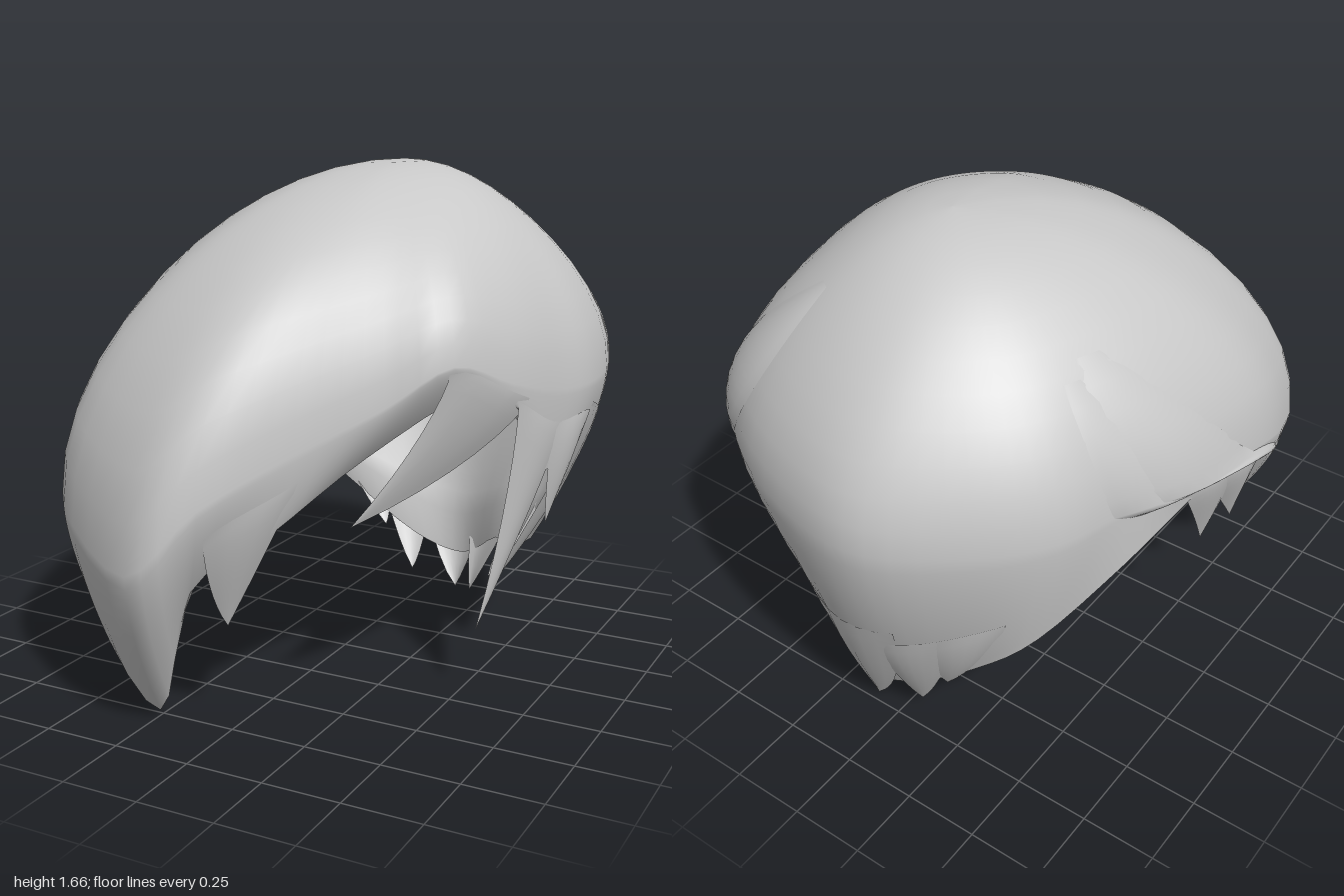
import * as THREE from 'three';

const hair = new THREE.MeshStandardMaterial({ color: 0xc8c8c8, side: THREE.DoubleSide });
hair.name = 'hair grey';

// Widest outline of the hair, from the front tip round by +x, the back and -x
const outline = [
  [-0.2, 0.54, 1], [0, 0.74, 0.92], [0.2, 0.88, 0.7], [0.4, 1, 0.54], [0.57, 1.12, 0.42],
  [0.67, 1.04, 0.2], [0.73, 0.98, -0.05], [0.77, 0.97, -0.3], [0.7, 0.98, -0.64], [0.45, 0.98, -0.87],
  [0.12, 0.97, -0.99], [-0.14, 0.97, -0.99], [-0.4, 0.97, -0.82], [-0.56, 0.97, -0.63], [-0.63, 0.96, -0.4],
  [-0.71, 0.92, -0.12], [-0.75, 0.85, 0.25], [-0.7, 0.74, 0.53], [-0.58, 0.64, 0.78],
];
// Lower edge, one point under each outline point
const hem = [
  [-0.24, 0.03, 0.78], [-0.08, 0.46, 0.84], [0.12, 0.63, 0.72], [0.33, 0.84, 0.5], [0.6, 1.03, 0.31],
  [0.69, 0.89, 0.08], [0.7, 0.72, -0.03], [0.71, 0.72, -0.26], [0.52, 0.35, -0.42], [0.33, 0.28, -0.57],
  [0.13, 0.14, -0.74], [-0.07, 0.19, -0.74], [-0.3, 0.36, -0.7], [-0.48, 0.53, -0.62], [-0.63, 0.74, -0.38],
  [-0.71, 0.86, -0.05], [-0.73, 0.77, 0.26], [-0.65, 0.57, 0.54], [-0.46, 0.32, 0.79],
];
const N = outline.length;
const loop = (pts) => new THREE.CatmullRomCurve3(pts.map((p) => new THREE.Vector3(...p)), true, 'catmullrom', 0.5);
const outlineCurve = loop(outline);
const hemCurve = loop(hem);
const crown = new THREE.Vector3(0.1, 1.67, -0.24);
const core = new THREE.Vector3(0, 0.8, 0);
const at = (curve, t) => curve.getPoint((((t / N) % 1) + 1) % 1);

// Point on the hair: t = place round the outline, v = 0 crown, 1 outline, 2 hem
function surface(t, v, lift = 0) {
  const e = at(outlineCurve, t);
  const p = new THREE.Vector3();
  if (v <= 1) {
    // The outline is rounder towards the crown
    const round = new THREE.Vector3();
    for (let d = -2; d <= 2; d++) round.addScaledVector(at(outlineCurve, t + d), 0.2);
    const w = Math.sin((v * Math.PI) / 2);
    const c = Math.cos((v * Math.PI) / 2);
    e.lerpVectors(round, e, w ** 3);
    p.set(crown.x + (e.x - crown.x) * w, e.y + (crown.y - e.y) * c, crown.z + (e.z - crown.z) * w);
  } else {
    const h = at(hemCurve, t);
    const u = v - 1;
    const w = Math.pow(u, 1.55);
    p.set(e.x + (h.x - e.x) * w, e.y + (h.y - e.y) * u, e.z + (h.z - e.z) * w);
  }
  return lift ? p.addScaledVector(p.clone().sub(core).normalize(), lift) : p;
}

// Smooth sheet from a rule f(i, j); i runs round, j runs down
function sheet(name, ni, nj, closed, f) {
  const pos = [], idx = [];
  const cols = closed ? ni : ni + 1;
  for (let i = 0; i < cols; i++) for (let j = 0; j <= nj; j++) pos.push(...f(i / ni, j / nj).toArray());
  const id = (i, j) => (i % cols) * (nj + 1) + j;
  for (let i = 0; i < ni; i++) {
    for (let j = 0; j < nj; j++) {
      idx.push(id(i, j), id(i, j + 1), id(i + 1, j));
      idx.push(id(i + 1, j), id(i, j + 1), id(i + 1, j + 1));
    }
  }
  const g = new THREE.BufferGeometry();
  g.setAttribute('position', new THREE.Float32BufferAttribute(pos, 3));
  g.setIndex(idx);
  g.computeVertexNormals();
  const mesh = new THREE.Mesh(g, hair);
  mesh.name = name;
  return mesh;
}

// Pointed strand that leaves the hair between t0 and t1 and ends at a tip
function strand(t0, t1, v0, tip) {
  const end = new THREE.Vector3(...tip);
  return sheet('strand', 6, 8, false, (a, s) => {
    const bulge = 0.002 + 0.02 * (1 - (2 * a - 1) ** 2) * Math.sin(Math.PI * s * 0.9);
    const p = surface(t0 + (t1 - t0) * a, v0 + (2 - v0) * s, bulge);
    return p.lerp(end, Math.pow(s, 1.6));
  });
}

// Raised lock that sweeps over the hair from (t0, v0) to (t1, v1)
function sweptLock(t0, v0, t1, v1, width, lift) {
  return sheet('sweptLock', 8, 16, false, (a, s) => {
    const c = 2 * a - 1;
    const half = width * Math.pow(Math.sin(Math.PI * (0.04 + 0.92 * s)), 0.7);
    const rise = lift * (1 - c * c) * Math.sin(Math.PI * s);
    return surface(t0 + (t1 - t0) * s + c * half, v0 + (v1 - v0) * s, rise);
  });
}

export function createModel() {
  const model = new THREE.Group();
  model.name = 'hair';

  model.add(sheet('hairShell', N * 4, 24, true, (a, s) => surface(a * N, s * 2)));

  // Inner side of the hair, closing onto the hem
  model.add(sheet('hairLining', N * 4, 20, true, (a, s) => (
    s < 1 ? surface(a * N, (s / 0.95) * 1.85, -0.04) : surface(a * N, 2)
  )));

  const strands = [
    // Fringe
    [1.1, 2.1, 1.4, [-0.02, 0.33, 0.73]],
    [3.9, 5.3, 1.2, [0.31, 0.64, 0.57]],
    // Side at +x
    [5, 6.2, 1.4, [0.56, 0.23, 0.19]],
    [5.9, 7, 1.4, [0.68, 0.52, -0.1]],
    [7.05, 8.4, 1.3, [0.46, 0.23, -0.14]],
    // Nape
    [8, 9, 1.6, [0.38, 0.2, -0.37]],
    [8.8, 10, 1.6, [0.23, 0.06, -0.57]],
    [9.5, 11.1, 1.5, [0.11, 0.005, -0.72]],
    [10.7, 11.7, 1.6, [-0.06, 0.06, -0.69]],
    [11.4, 12.4, 1.6, [-0.18, 0.22, -0.7]],
    // Side at -x
    [14.8, 15.6, 1.5, [-0.62, 0.47, 0.13]],
    [15.1, 16, 1.5, [-0.64, 0.46, 0.3]],
    [15.9, 17.3, 1.4, [-0.46, 0.18, 0.6]],
  ];
  strands.forEach((s) => model.add(strand(...s)));

  const locks = [
    [14, 0.55, 16.6, 1.85, 0.9, 0.035],
    [13.6, 0.6, 15.8, 1.7, 0.6, 0.025],
    [8.9, 0.45, 8, 1.2, 0.5, 0.02],
  ];
  locks.forEach((l) => model.add(sweptLock(...l)));

  return model;
}
